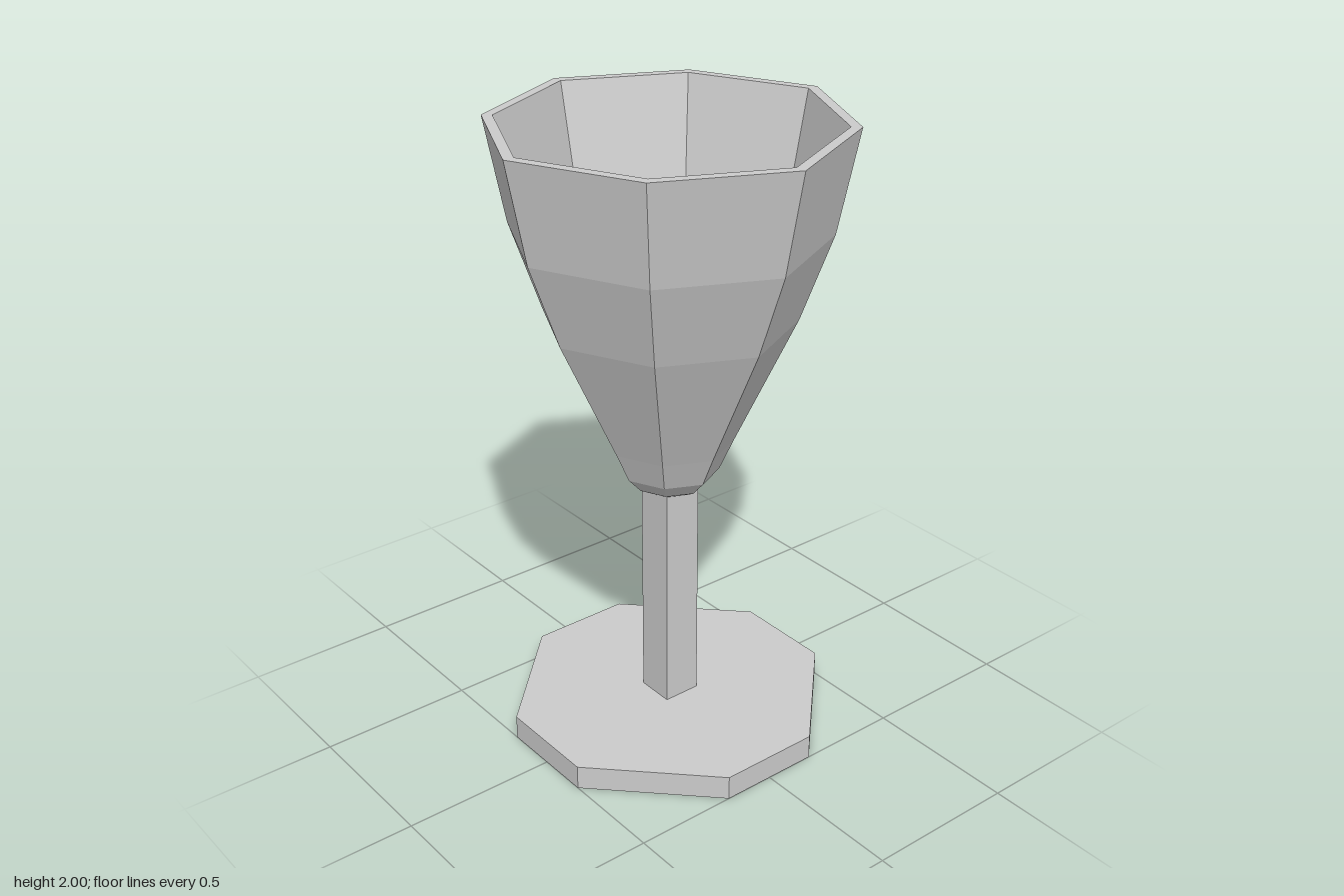
import * as THREE from 'three';

const material = new THREE.MeshStandardMaterial({ color: 0xcccccc, flatShading: true });

function addPart(group, name, geometry, y = 0) {
  const mesh = new THREE.Mesh(geometry, material);
  mesh.name = name;
  mesh.position.y = y;
  group.add(mesh);
}

// Eight-sided bowl: up the outer wall, over the rim and down the inside
function bowlGeometry() {
  const profile = [
    [0, 0.83], [0.08, 0.83], [0.115, 0.85], [0.16, 0.9], [0.205, 1.0],
    [0.4, 1.41], [0.5, 1.68], [0.565, 2.0],
    [0.53, 2.0], [0.465, 1.68], [0.365, 1.41], [0.17, 1.0],
    [0.125, 0.9], [0.09, 0.87], [0, 0.865],
  ].map(([r, y]) => new THREE.Vector2(r, y));
  const geometry = new THREE.LatheGeometry(profile, 8);

  // The diagonal corners sit slightly closer in than those on the axes
  const pos = geometry.attributes.position;
  for (let i = 0; i < pos.count; i++) {
    const x = pos.getX(i), z = pos.getZ(i);
    if (Math.min(Math.abs(x), Math.abs(z)) > 1e-4) {
      pos.setX(i, x * 0.96);
      pos.setZ(i, z * 0.96);
    }
  }
  geometry.computeVertexNormals();
  return geometry;
}

// Square plate with its corners cut at a third of each side
function footGeometry(height) {
  const a = 0.5, b = 0.167;
  const outline = new THREE.Shape(
    [[a, -b], [a, b], [b, a], [-b, a], [-a, b], [-a, -b], [-b, -a], [b, -a]]
      .map(([x, y]) => new THREE.Vector2(x, y)));
  return new THREE.ExtrudeGeometry(outline, { depth: height, bevelEnabled: false })
    .rotateX(-Math.PI / 2);
}

export function createModel() {
  const goblet = new THREE.Group();
  goblet.name = 'goblet';
  const footTop = 0.08, stemTop = 0.88;

  addPart(goblet, 'foot', footGeometry(footTop));
  addPart(goblet, 'stem',
    new THREE.BoxGeometry(0.125, stemTop - footTop, 0.125), (stemTop + footTop) / 2);
  addPart(goblet, 'bowl', bowlGeometry());
  return goblet;
}
